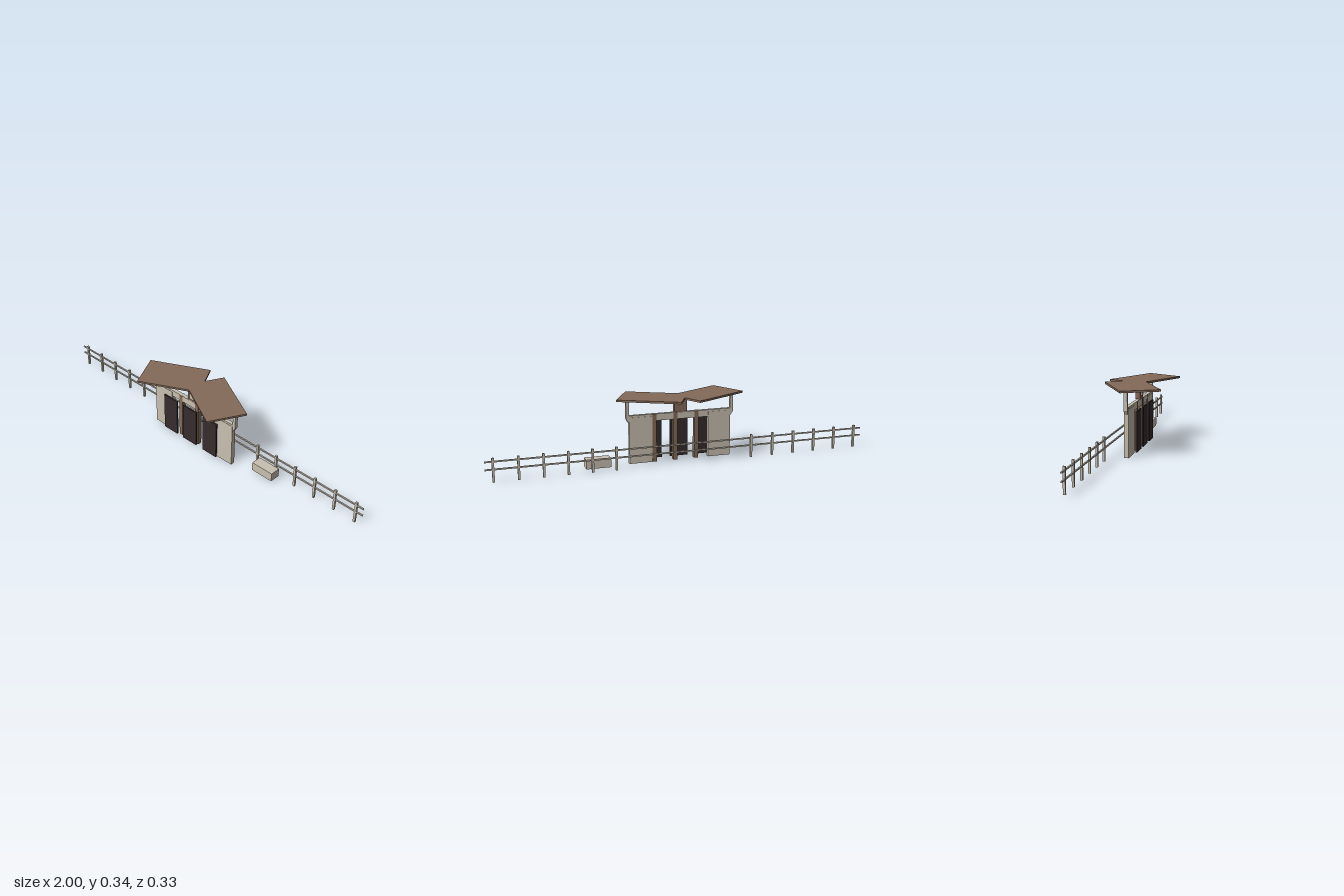
import * as THREE from 'three';

export function createModel() {
  const root = new THREE.Group();
  root.name = 'gatehouse';
  const mat = (name, color) => {
    const m = new THREE.MeshStandardMaterial({ color });
    m.name = name;
    return m;
  };
  const stone = mat('pale stone', 0xc8bfb0);
  const wood = mat('brown wood', 0x846a59);
  const dark = mat('dark door', 0x352c2d);

  // box given by its centre and size
  const box = (name, m, x, y, z, w, h, d, parent = root) => {
    const mesh = new THREE.Mesh(new THREE.BoxGeometry(w, h, d), m);
    mesh.position.set(x, y, z);
    mesh.name = name;
    parent.add(mesh);
    return mesh;
  };

  // side walls, roof supports with chamfered feet, and angled roof panels
  const support = new THREE.Shape([
    [0.268, 0.215], [0.277, 0.215], [0.288, 0.235], [0.288, 0.328], [0.272, 0.328], [0.272, 0.25], [0.268, 0.25],
  ].map(([x, y]) => new THREE.Vector2(x, y)));
  for (const s of [-1, 1]) {
    const side = s > 0 ? 'left' : 'right';
    box(side + 'Wall', stone, s * 0.211, 0.12, 0, 0.122, 0.24, 0.023);

    const shape = s > 0 ? support
      : new THREE.Shape(support.getPoints().map(p => new THREE.Vector2(-p.x, p.y)).reverse());
    const geo = new THREE.ExtrudeGeometry(shape, { depth: 0.018, bevelEnabled: false });
    geo.translate(0, 0, -0.009);
    const post = new THREE.Mesh(geo, stone);
    post.name = side + 'RoofSupport';
    root.add(post);

    const roof = box(side + 'RoofPanel', wood, s * 0.146, 0.333, -0.002, 0.327, 0.01, 0.204);
    roof.rotation.y = -s * 0.483;
  }

  // lintel and wooden posts
  box('lintel', stone, 0, 0.2325, 0, 0.544, 0.035, 0.02);
  for (const x of [-0.085, 0.028, 0.14]) box('doorPost', wood, x, 0.125, 0, 0.022, 0.25, 0.024);

  // sliding doors hung in front of the wall
  for (const x of [-0.14, -0.002, 0.138]) box('door', dark, x, 0.1135, 0.029, 0.094, 0.207, 0.008);

  // centre block with a small plaque
  box('centreBlock', wood, 0, 0.29, 0, 0.068, 0.076, 0.023);
  box('plaque', stone, 0, 0.285, 0.015, 0.03, 0.03, 0.01);

  // fence running behind the building
  const fence = new THREE.Group();
  fence.name = 'fence';
  root.add(fence);
  for (const y of [0.063, 0.102]) box('rail', stone, 0, y, -0.088, 2, 0.007, 0.007, fence);
  for (const s of [-1, 1]) {
    for (let i = 0; i < 6; i++) {
      box('fencePost', stone, s * (0.36 + i * 0.12), 0.06, -0.088, 0.011, 0.12, 0.011, fence);
    }
  }

  // trough beside the building
  box('trough', stone, 0.447, 0.037, -0.048, 0.125, 0.046, 0.056);

  return root;
}
